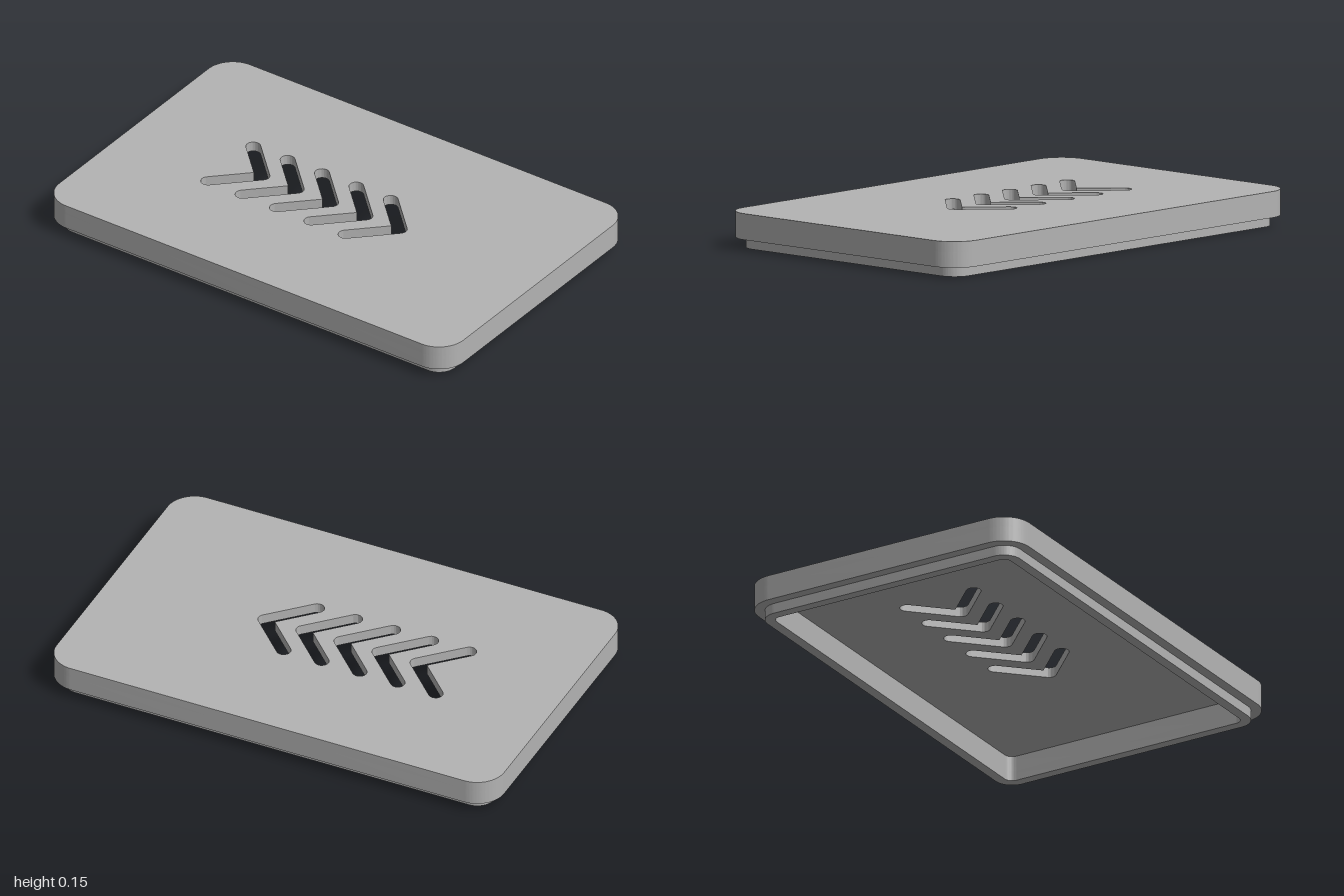
import * as THREE from 'three';
import { toCreasedNormals } from 'three/addons/utils/BufferGeometryUtils.js';

const STEP = 0.043;            // wall thickness, lip inset and panel thickness
const HX = 1, HZ = 0.64, RADIUS = 0.12, TOP = 0.15;

// Rounded rectangle, inset from the outer outline
function outline(target, inset) {
  const x = HX - inset, y = HZ - inset, r = RADIUS - inset;
  target.absarc(x - r, y - r, r, 0, Math.PI / 2);
  target.absarc(r - x, y - r, r, Math.PI / 2, Math.PI);
  target.absarc(r - x, r - y, r, Math.PI, Math.PI * 1.5);
  target.absarc(x - r, r - y, r, Math.PI * 1.5, Math.PI * 2);
  target.closePath();
  return target;
}

// Chevron slot with round ends, pointing to +x
function chevron(x) {
  const reach = 0.157, r = 0.03, q = Math.PI / 4;
  const slot = new THREE.Path();
  slot.absarc(x, reach, r, q, 5 * q);
  slot.lineTo(x + reach - r * Math.SQRT2, 0);
  slot.absarc(x, -reach, r, 3 * q, 7 * q);
  slot.absarc(x + reach, 0, r, -q, q);
  slot.closePath();
  return slot;
}

// Extrude a flat outline upward between two heights
function slab(name, shape, y0, y1, material) {
  const flat = new THREE.ExtrudeGeometry(shape, { depth: y1 - y0, bevelEnabled: false, curveSegments: 16 });
  flat.rotateX(-Math.PI / 2);
  flat.translate(0, y0, 0);
  const mesh = new THREE.Mesh(toCreasedNormals(flat, Math.PI / 6), material);
  mesh.name = name;
  return mesh;
}

export function createModel() {
  const grey = new THREE.MeshStandardMaterial({ color: 0xb3b3b3 });
  grey.name = 'plain grey';
  const lid = new THREE.Group();
  lid.name = 'lid';

  // Top panel with a row of chevron slots
  const panel = outline(new THREE.Shape(), 0);
  for (let i = 0; i < 5; i++) panel.holes.push(chevron(-0.521 + i * 0.17));
  lid.add(slab('topPanel', panel, TOP - STEP, TOP, grey));

  // Outer side wall around the hollow underside
  const wall = outline(new THREE.Shape(), 0);
  wall.holes.push(outline(new THREE.Path(), 2 * STEP));
  lid.add(slab('sideWall', wall, STEP, TOP - STEP, grey));

  // Inset lip below the wall
  const lip = outline(new THREE.Shape(), STEP);
  lip.holes.push(outline(new THREE.Path(), 2 * STEP));
  lid.add(slab('insetLip', lip, 0, STEP, grey));

  return lid;
}
